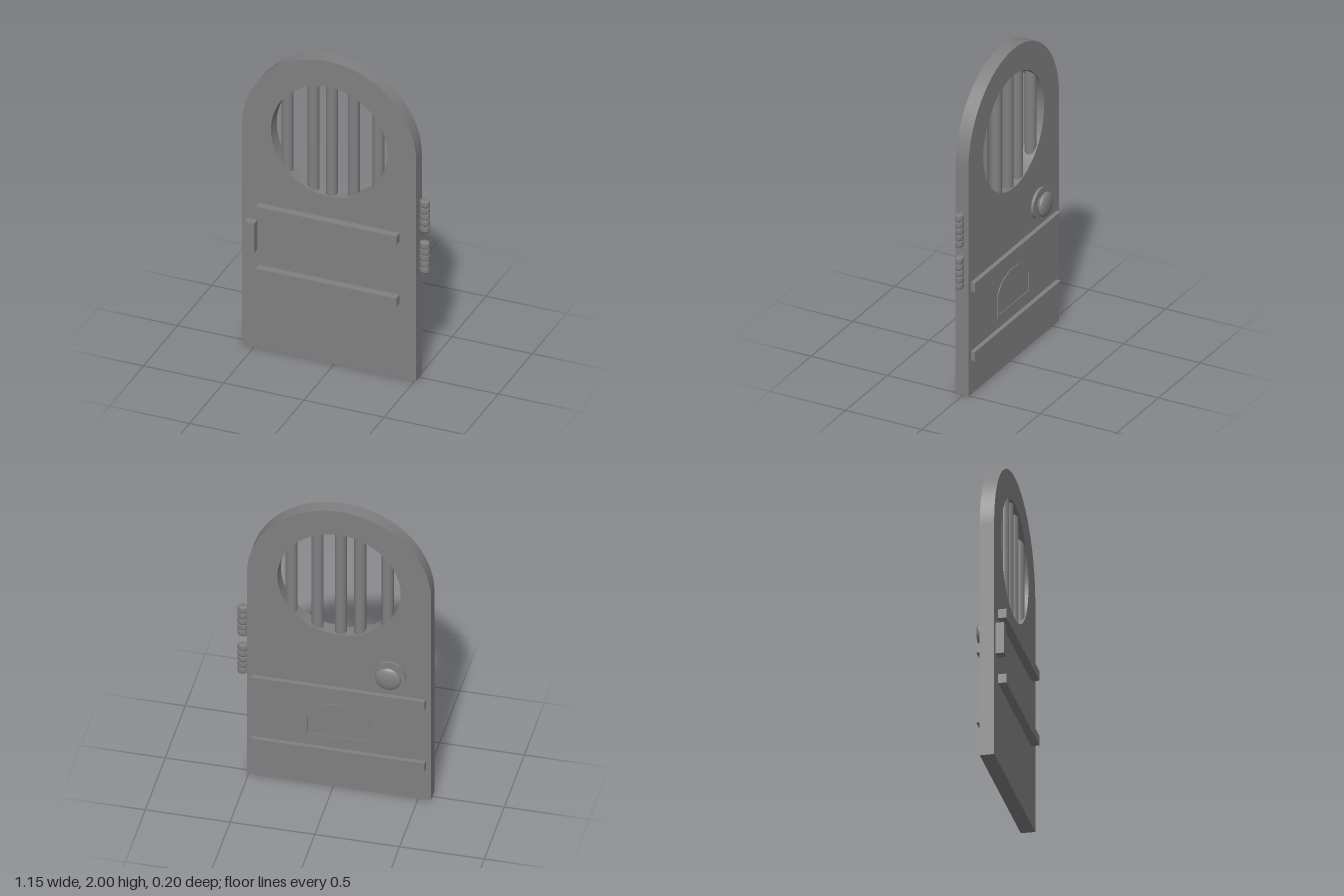
import * as THREE from 'three';

export function createModel() {
  const door = new THREE.Group();
  door.name = 'archedDoor';
  const grey = new THREE.MeshStandardMaterial({ color: 0x808080 });
  grey.name = 'grey';

  const CX = -0.033, BACK = -0.035, FRONT = 0.05;
  const add = (name, geometry, x = 0, y = 0, z = 0) => {
    const mesh = new THREE.Mesh(geometry, grey);
    mesh.name = name;
    mesh.position.set(x, y, z);
    door.add(mesh);
    return mesh;
  };
  // Box given by its extents on each axis
  const block = (name, x0, x1, y0, y1, z0, z1) =>
    add(name, new THREE.BoxGeometry(x1 - x0, y1 - y0, z1 - z0), (x0 + x1) / 2, (y0 + y1) / 2, (z0 + z1) / 2);
  // Flat-bottomed outline with an elliptical top
  const arch = (Kind, cx, halfWidth, bottom, spring, rise) => {
    const s = new Kind();
    s.moveTo(cx - halfWidth, bottom);
    s.lineTo(cx + halfWidth, bottom);
    s.lineTo(cx + halfWidth, spring);
    s.absellipse(cx, spring, halfWidth, rise, 0, Math.PI, false, 0);
    s.closePath();
    return s;
  };
  const extrude = (shape, depth) =>
    new THREE.ExtrudeGeometry(shape, { depth, bevelEnabled: false, curveSegments: 48 });

  // Door slab with a round window
  const holeY = 1.467, holeR = 0.363;
  const slab = arch(THREE.Shape, CX, 0.5425, 0, 1.46, 0.54);
  const hole = new THREE.Path();
  hole.absarc(CX, holeY, holeR, 0, Math.PI * 2, true);
  slab.holes.push(hole);
  add('slab', extrude(slab, FRONT - BACK), 0, 0, BACK);

  // Window bars, their ends buried in the slab
  const barR = 0.035;
  for (const x of [-0.311, -0.148, -0.034, 0.103, 0.257]) {
    const inner = Math.max(0, Math.abs(x - CX) - barR);
    const length = 2 * Math.sqrt(holeR ** 2 - inner ** 2) + 0.02;
    add('windowBar', new THREE.CylinderGeometry(barR, barR, length, 24), x, holeY, 0.0075);
  }

  // Front battens and latch block
  for (const y of [0.907, 0.496]) block('frontBatten', -0.472, 0.407, y, y + 0.056, FRONT, 0.099);
  block('latch', -0.539, -0.48, 0.654, 0.848, FRONT, 0.099);

  // Back battens
  for (const y of [0.668, 0.223]) block('backBatten', -0.545, 0.48, y, y + 0.057, -0.062, BACK);

  // Raised rim of the small arched flap on the back
  const rim = arch(THREE.Shape, -0.027, 0.192, 0.35, 0.47, 0.125);
  rim.holes.push(arch(THREE.Path, -0.027, 0.178, 0.364, 0.47, 0.111));
  add('flapRim', extrude(rim, 0.005), 0, 0, BACK - 0.005);

  // Knob: backplate, neck and flattened ball
  const knobX = -0.333, knobY = 0.872;
  const disc = (name, r, z0, z1) =>
    add(name, new THREE.CylinderGeometry(r, r, z1 - z0, 48), knobX, knobY, (z0 + z1) / 2).rotateX(Math.PI / 2);
  disc('knobPlate', 0.094, -0.052, BACK);
  disc('knobNeck', 0.045, -0.07, -0.05);
  add('knob', new THREE.SphereGeometry(1, 40, 24), knobX, knobY, -0.079).scale.set(0.076, 0.076, 0.025);

  // Hinges: stacks of softly rounded knuckles, oval in plan
  const knuckles = 5;
  for (const [y0, y1] of [[0.98, 1.185], [0.709, 0.911]]) {
    const h = (y1 - y0) / knuckles;
    for (let i = 0; i < knuckles; i++) {
      const profile = [[0, 0], [0.027, 0], [0.0305, 0.2], [0.0305, 0.8], [0.027, 1], [0, 1]]
        .map(([r, t]) => new THREE.Vector2(r, t * h));
      add('hingeKnuckle', new THREE.LatheGeometry(profile, 24), 0.543, y0 + i * h, 0.003).scale.z = 0.77;
    }
  }
  return door;
}
